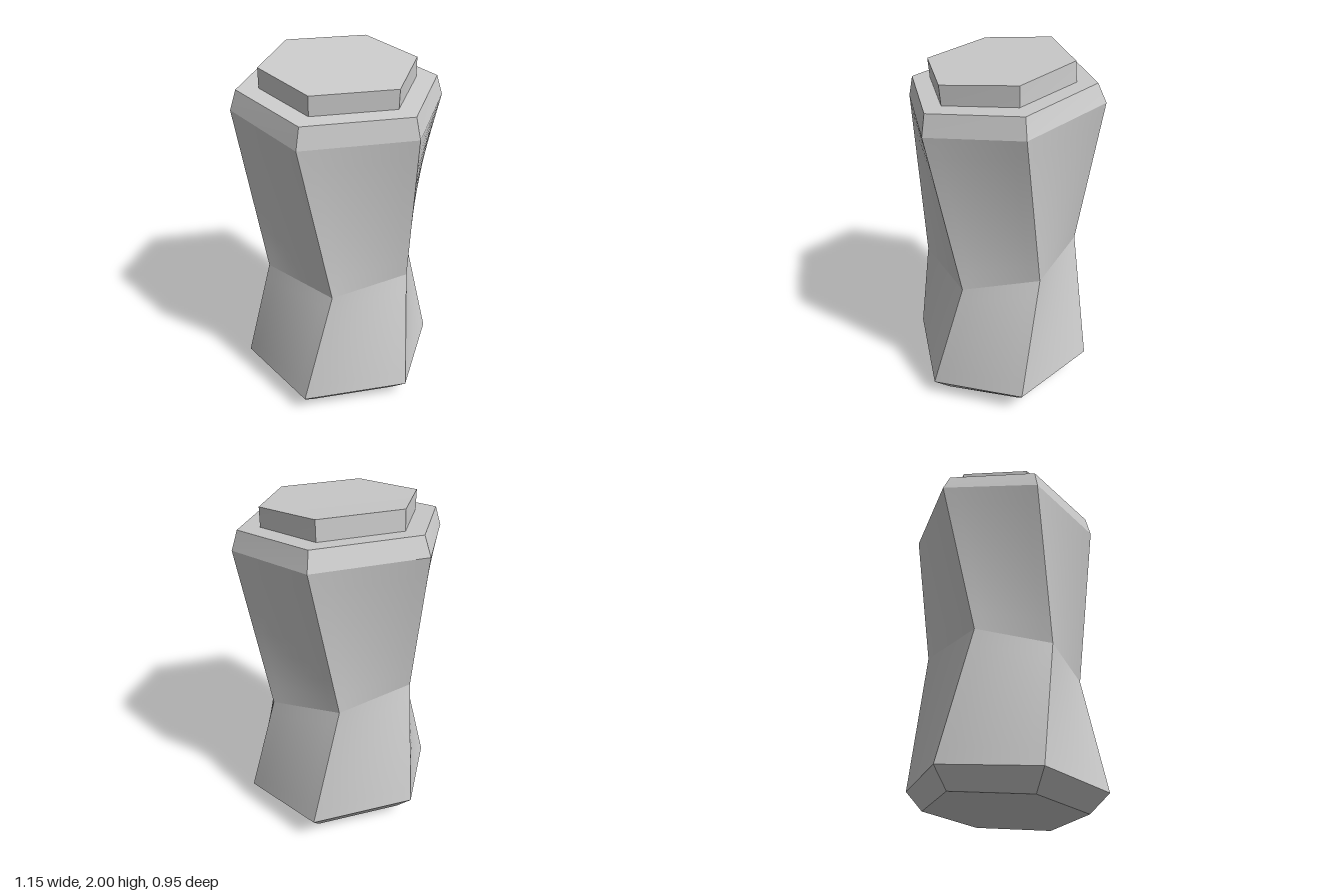
import * as THREE from 'three';
import { toCreasedNormals } from 'three/addons/utils/BufferGeometryUtils.js';

const material = new THREE.MeshStandardMaterial({ color: 0xcccccc });

// Tilted hexagonal ring, running from the left corner (+x) round the back
function ring(side, pair, zFront, zBack, yFront, yBack, twist = 0) {
  const y = (yFront + yBack) / 2;
  return [
    [side, y, 0], [pair, yBack, zBack], [-pair, yBack, zBack],
    [-side, y, 0], [-pair, yFront, zFront], [pair, yFront, zFront],
  ].map((p) => new THREE.Vector3(...p).applyAxisAngle(new THREE.Vector3(0, 1, 0), twist));
}

// Skin one ring to the next with straight-ruled faces, split into steps where they twist
function loft(name, low, high, { steps = 1, bottom = false, top = false } = {}) {
  const points = [];
  const tri = (a, b, c) => points.push(a, b, c);
  for (let i = 0; i < 6; i++) {
    const j = (i + 1) % 6;
    const at = (u, v) => low[i].clone().lerp(low[j], u / steps)
      .lerp(high[i].clone().lerp(high[j], u / steps), v / steps);
    for (let u = 0; u < steps; u++) {
      for (let v = 0; v < steps; v++) {
        tri(at(u, v), at(u + 1, v), at(u + 1, v + 1));
        tri(at(u, v), at(u + 1, v + 1), at(u, v + 1));
      }
    }
  }
  for (let i = 1; i < 5; i++) {
    if (bottom) tri(low[0], low[i + 1], low[i]);
    if (top) tri(high[0], high[i], high[i + 1]);
  }
  const geometry = new THREE.BufferGeometry().setFromPoints(points);
  const mesh = new THREE.Mesh(toCreasedNormals(geometry, 0.4), material);
  mesh.name = name;
  return mesh;
}

export function createModel() {
  const group = new THREE.Group();
  group.name = 'twistedHexagonalGrip';

  const base = ring(0.465, 0.255, 0.38, -0.38, 0, 0.06);
  const lower = ring(0.575, 0.307, 0.475, -0.463, 0.105, 0.172);
  const waist = ring(0.452, 0.242, 0.372, -0.36, 0.78, 0.912, 0.28);
  const upper = ring(0.575, 0.307, 0.46, -0.477, 1.695, 1.8);
  const shoulder = ring(0.54, 0.287, 0.44, -0.433, 1.81, 1.9);
  const capBase = ring(0.422, 0.225, 0.348, -0.342, 1.81, 1.89);
  const capTop = ring(0.422, 0.225, 0.357, -0.333, 1.925, 2);

  group.add(
    loft('bottomBevel', base, lower, { bottom: true }),
    loft('lowerBody', lower, waist, { steps: 8 }),
    loft('upperBody', waist, upper, { steps: 8 }),
    loft('topBevel', upper, shoulder, { top: true }),
    loft('raisedCap', capBase, capTop, { top: true }),
  );
  return group;
}
